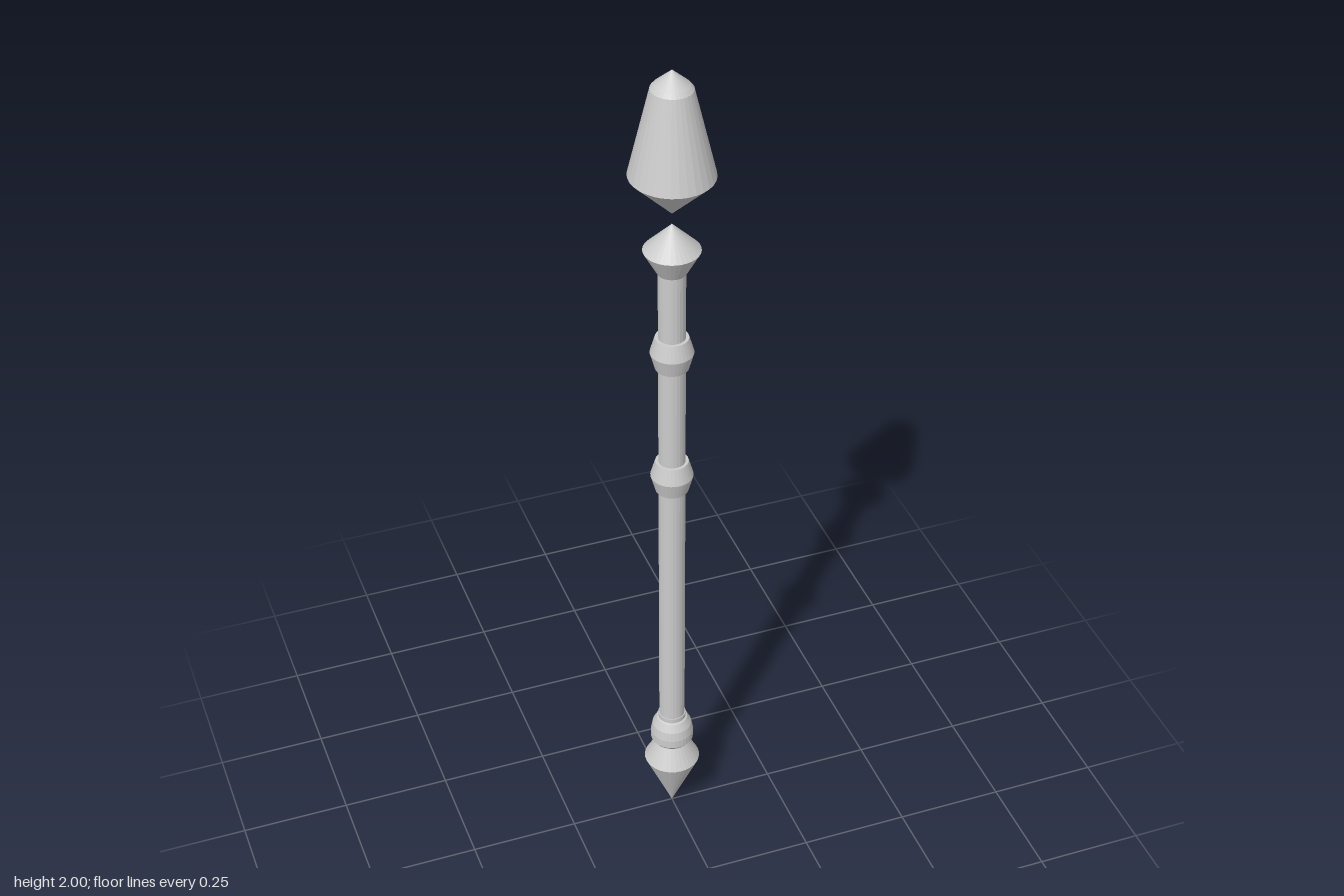
import * as THREE from 'three';

const material = new THREE.MeshStandardMaterial({ color: 0xcccccc, flatShading: true });

// Turned part from [radius, height] pairs, listed bottom to top
function turned(name, profile, sides = 32) {
  const points = profile.map(([r, y]) => new THREE.Vector2(r, y));
  const mesh = new THREE.Mesh(new THREE.LatheGeometry(points, sides), material);
  mesh.name = name;
  return mesh;
}

export function createModel() {
  const staff = new THREE.Group();
  staff.name = 'staff';

  // Floating crystal, slightly deeper than wide
  const crystal = turned('floatingCrystal', [[0, 1.667], [0.092, 1.76], [0.045, 1.958], [0.038, 1.966], [0, 2]]);
  crystal.scale.z = 1.05;
  staff.add(crystal);

  // Pointed cap below the crystal
  staff.add(turned('cap', [[0, 1.52], [0.032, 1.525], [0.062, 1.58], [0, 1.643]]));

  // Long shaft
  const shaft = new THREE.Mesh(new THREE.CylinderGeometry(0.03, 0.03, 1.28, 24), material);
  shaft.name = 'shaft';
  shaft.position.y = 0.9;
  staff.add(shaft);

  // Two bevelled collars
  const collar = [[0.028, -0.04], [0.037, -0.04], [0.048, 0], [0.037, 0.038], [0.028, 0.038]];
  [['upperCollar', 1.323], ['lowerCollar', 0.995]].forEach(([name, y]) => {
    const ring = turned(name, collar);
    ring.position.y = y;
    staff.add(ring);
  });

  // Rounded grip ring above the foot
  staff.add(turned('gripRing', [
    [0, 0.205], [0.044, 0.207], [0.05, 0.215], [0.05, 0.235],
    [0.046, 0.257], [0.036, 0.276], [0.032, 0.278], [0.032, 0.29], [0, 0.29],
  ]));

  // Foot spike
  staff.add(turned('footSpike', [[0, 0], [0.065, 0.15], [0.035, 0.205], [0, 0.207]]));

  return staff;
}
